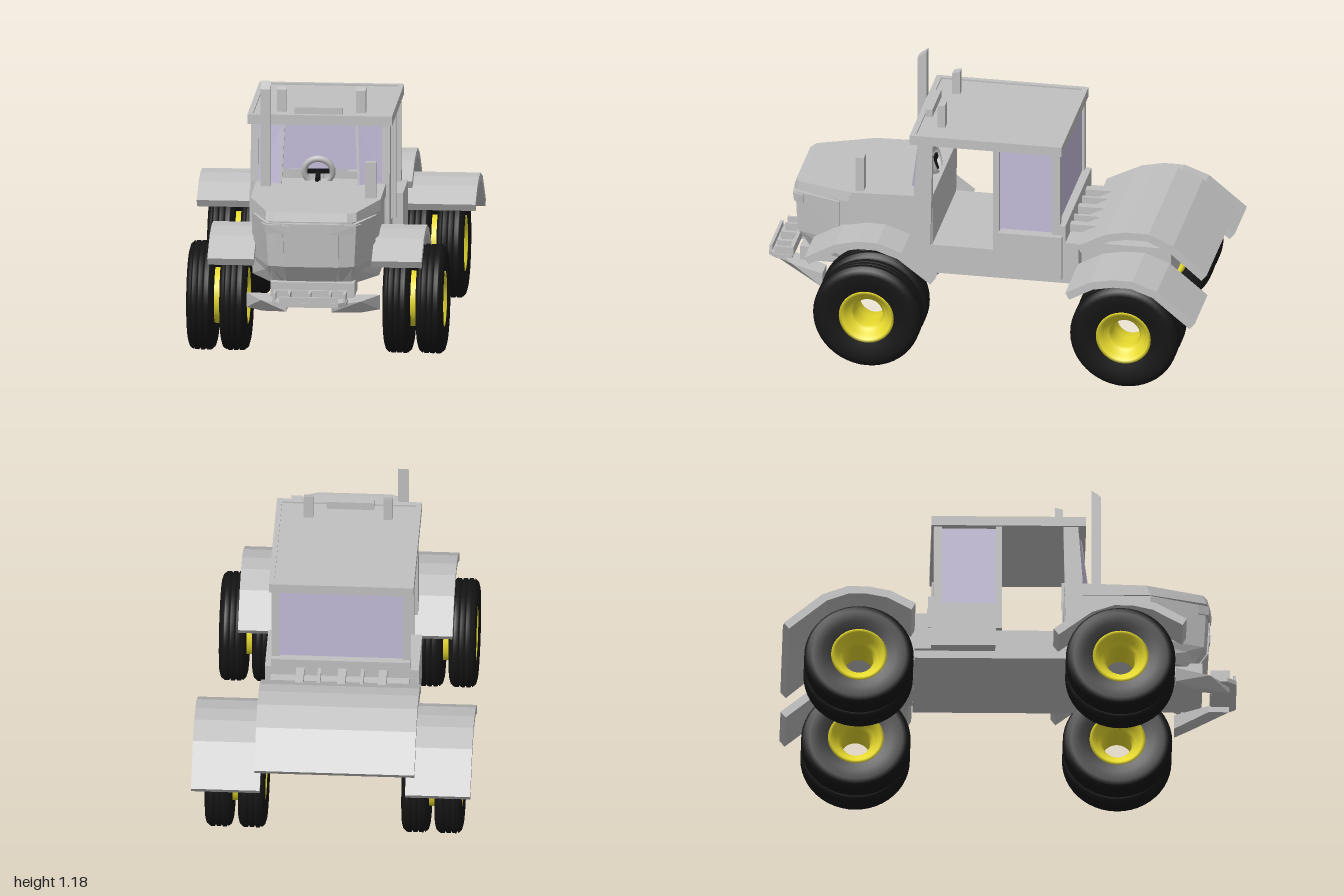
import * as THREE from 'three';
import { ConvexGeometry } from 'three/addons/geometries/ConvexGeometry.js';

const CX = -0.01; // centre line of the machine

export function createModel() {
  const model = new THREE.Group();
  model.name = 'tractor';
  const mat = (name, color, side = THREE.FrontSide) => {
    const m = new THREE.MeshStandardMaterial({ color, side });
    m.name = name;
    return m;
  };
  const gray = mat('bodyGray', 0xc0c0c0);
  const black = mat('tireBlack', 0x141414, THREE.DoubleSide);
  const yellow = mat('rimYellow', 0xe6d92e, THREE.DoubleSide);
  const glass = mat('windowLavender', 0xc2bad8, THREE.DoubleSide);

  const add = (name, geo, material = gray, parent = model) => {
    const m = new THREE.Mesh(geo, material);
    m.name = name;
    parent.add(m);
    return m;
  };
  // Box given by its limits on each axis
  const box = (name, x0, x1, y0, y1, z0, z1, material = gray) =>
    add(name, new THREE.BoxGeometry(x1 - x0, y1 - y0, z1 - z0)
      .translate((x0 + x1) / 2, (y0 + y1) / 2, (z0 + z1) / 2), material);
  // Convex solid; every point is mirrored about the centre line
  const symmetric = (name, pts) => add(name, new ConvexGeometry(
    pts.flatMap(([x, y, z]) => [new THREE.Vector3(CX + x, y, z), new THREE.Vector3(CX - x, y, z)])));
  const solid = (name, pts) => add(name, new ConvexGeometry(pts.map(p => new THREE.Vector3(...p))));
  const pane = (name, a, b, c, d) => {
    const g = new THREE.BufferGeometry();
    g.setAttribute('position', new THREE.Float32BufferAttribute([a, b, c, a, c, d].flat(), 3));
    g.computeVertexNormals();
    return add(name, g, glass);
  };

  // Fender: a bent strip drawn in the z-y plane and extruded across x
  const fender = (name, pts, x0, x1, t = 0.036) => {
    const outer = pts.map(p => new THREE.Vector2(...p));
    const inner = outer.map((p, i) => {
      const a = outer[Math.max(i - 1, 0)], b = outer[Math.min(i + 1, outer.length - 1)];
      const d = b.clone().sub(a).normalize();
      return new THREE.Vector2(p.x - d.y * t, p.y + d.x * t);
    });
    const g = new THREE.ExtrudeGeometry(new THREE.Shape([...outer, ...inner.reverse()]),
      { depth: x1 - x0, bevelEnabled: false });
    add(name, g.rotateY(-Math.PI / 2).translate(x1, 0, 0));
  };
  const frontArch = [[0.775, 0.47], [0.64, 0.545], [0.54, 0.568], [0.45, 0.568], [0.34, 0.53], [0.19, 0.417]];
  const rearArch = [[-0.42, 0.47], [-0.53, 0.53], [-0.63, 0.55], [-0.72, 0.55], [-0.83, 0.51], [-1.0, 0.37]];
  const centreArch = [[-0.42, 0.57], [-0.55, 0.635], [-0.635, 0.653], [-0.74, 0.653], [-0.85, 0.605], [-1.0, 0.475]];
  fender('frontFenderRight', frontArch, -0.475, -0.27);
  fender('frontFenderLeft', frontArch, 0.25, 0.47);
  fender('rearFenderRight', rearArch, -0.617, -0.33);
  fender('rearFenderLeft', rearArch, 0.31, 0.613);
  fender('rearCentreFender', centreArch, -0.371, 0.334);

  // Wheels: twin tires on one hollow stepped rim
  const turned = pts => new THREE.LatheGeometry(pts.map(p => new THREE.Vector2(...p)), 48).rotateZ(Math.PI / 2);
  const tireProfile = [[0.118, -0.05], [0.16, -0.058], [0.205, -0.061], [0.226, -0.055], [0.239, -0.04]];
  for (const s of [-0.026, 0, 0.026])
    tireProfile.push([0.241, s - 0.01], [0.241, s + 0.006], [0.234, s + 0.009], [0.234, s + 0.013]);
  tireProfile.push([0.239, 0.041], [0.226, 0.055], [0.205, 0.061], [0.16, 0.058], [0.118, 0.05]);
  const tireGeo = turned(tireProfile);
  const rimSide = [[0.065, 0.02], [0.065, 0.075], [0.078, 0.075], [0.08, 0.09], [0.092, 0.09],
    [0.095, 0.11], [0.108, 0.112], [0.11, 0.126], [0.123, 0.126], [0.123, 0.02]];
  const rimGeo = turned([...rimSide, ...rimSide.map(([r, h]) => [r, -h]).reverse(), rimSide[0]]);
  for (const z of [0.483, -0.668]) for (const side of [-1, 1]) {
    const wheel = new THREE.Group();
    wheel.name = (z > 0 ? 'front' : 'rear') + (side > 0 ? 'LeftWheel' : 'RightWheel');
    wheel.position.set(-0.008 + side * 0.433, 0.243, z);
    for (const x of [-0.073, 0.073]) add('tire', tireGeo, black, wheel).position.x = x;
    add('rim', rimGeo, yellow, wheel);
    model.add(wheel);
  }

  // Engine body, hood lid and grille
  symmetric('engineBody', [
    [0.28, 0.37, 0.24], [0.28, 0.37, 0.6], [0.17, 0.37, 0.8],
    [0.28, 0.69, 0.24], [0.28, 0.68, 0.62], [0.18, 0.67, 0.86], [0.18, 0.45, 0.85]]);
  symmetric('hoodLid', [
    [0.287, 0.665, 0.62], [0.287, 0.665, 0.24], [0.2, 0.665, 0.865], [0.16, 0.665, 0.88],
    [0.287, 0.722, 0.24], [0.287, 0.712, 0.6], [0.2, 0.705, 0.85], [0.16, 0.703, 0.87]]);
  symmetric('grille', [
    [0.12, 0.655, 0.885], [0.12, 0.46, 0.875], [0.11, 0.385, 0.82], [0.12, 0.655, 0.8], [0.11, 0.385, 0.7]]);
  for (const s of [-1, 1]) {
    const x = v => CX + s * v;
    solid('grilleSide', [
      [x(0.125), 0.655, 0.88], [x(0.2), 0.655, 0.865], [x(0.275), 0.655, 0.66], [x(0.125), 0.655, 0.65],
      [x(0.12), 0.46, 0.868], [x(0.19), 0.46, 0.855], [x(0.265), 0.46, 0.66],
      [x(0.12), 0.385, 0.815], [x(0.18), 0.385, 0.79], [x(0.24), 0.385, 0.66], [x(0.12), 0.385, 0.66]]);
    solid('headlight', [
      [x(0.09), 0.61, 0.888], [x(0.2), 0.61, 0.875], [x(0.22), 0.61, 0.83], [x(0.09), 0.61, 0.83],
      [x(0.09), 0.65, 0.89], [x(0.2), 0.65, 0.88], [x(0.225), 0.65, 0.83], [x(0.09), 0.65, 0.83]]);
    // Swept lower bumper arm
    solid('bumperArm', [
      [x(0.1), 0.28, 0.97], [x(0.1), 0.31, 0.97], [x(0.1), 0.28, 0.88], [x(0.1), 0.31, 0.88],
      [x(0.22), 0.245, 0.8], [x(0.22), 0.31, 0.88], [x(0.295), 0.245, 0.73], [x(0.295), 0.31, 0.73],
      [x(0.2), 0.245, 0.73], [x(0.2), 0.31, 0.73]]);
  }

  // Front bumper tray with ribs
  box('bumperBracket', -0.19, 0.18, 0.32, 0.385, 0.66, 0.85);
  symmetric('bumperTray', [
    [0.165, 0.305, 0.89], [0.165, 0.305, 0.96], [0.13, 0.305, 1],
    [0.165, 0.325, 0.89], [0.165, 0.325, 0.96], [0.13, 0.325, 1]]);
  box('bumperBack', -0.17, 0.15, 0.32, 0.36, 0.885, 0.9);
  box('bumperLip', -0.14, 0.12, 0.32, 0.35, 0.985, 0.998);
  for (const x of [-0.165, -0.1, -0.01, 0.08, 0.145])
    box('bumperRib', x - 0.006, x + 0.006, 0.32, 0.36, 0.89, 0.97);

  // Chassis, sills and rear ledge
  box('chassis', -0.295, 0.275, 0.355, 0.49, -0.42, 0.3);
  box('rearChassis', -0.25, 0.23, 0.365, 0.54, -0.82, -0.4);
  box('rearLedge', -0.315, 0.295, 0.39, 0.56, -0.42, -0.33);
  box('sideTankRight', -0.356, -0.29, 0.39, 0.595, -0.348, -0.065);
  box('sideTankLeft', 0.265, 0.322, 0.39, 0.595, -0.348, -0.065);
  box('rearWall', -0.32, 0.295, 0.49, 0.64, -0.36, -0.32);
  [-0.2, -0.11, -0.02, 0.08, 0.165].forEach((x, i) => {
    const w = i % 2 ? 0.007 : 0.018;
    box('rearPipe', x - w, x + w, 0.565, 0.6, -0.53, -0.35);
  });
  for (const x of [-0.1, 0.06]) box('wallHandle', x, x + 0.05, 0.6, 0.64, -0.32, -0.29);

  // Cab frame and windows
  for (const s of [-1, 1]) {
    const x = v => CX - 0.003 + s * v;
    const post = (name, z0, z1, y0) =>
      box(name, Math.min(x(0.307), x(0.272)), Math.max(x(0.307), x(0.272)), y0, 0.99, z0, z1);
    post('middlePost', -0.062, -0.035, 0.49);
    post('rearPost', -0.335, -0.3, 0.59);
    const front = [];
    for (const w of [0.272, 0.307])
      front.push([x(w), 0.49, 0.245], [x(w), 0.49, 0.32], [x(w), 0.72, 0.32],
        [x(w), 0.985, 0.235], [x(w), 0.985, 0.3]);
    solid('frontPost', front);
    pane('sideWindow', [x(0.285), 0.595, -0.06], [x(0.285), 0.595, -0.3], [x(0.285), 0.985, -0.3], [x(0.285), 0.985, -0.06]);
    pane('frontCornerWindow', [x(0.28), 0.71, 0.31], [x(0.175), 0.71, 0.35], [x(0.165), 0.985, 0.315], [x(0.28), 0.985, 0.29]);
    solid('windowEdge', [
      [x(0.168), 0.71, 0.34], [x(0.178), 0.71, 0.352], [x(0.168), 0.71, 0.352],
      [x(0.155), 0.985, 0.305], [x(0.167), 0.985, 0.317], [x(0.155), 0.985, 0.317]]);
  }
  pane('rearWindow', [-0.29, 0.635, -0.325], [0.265, 0.635, -0.325], [0.265, 0.985, -0.325], [-0.29, 0.985, -0.325]);

  // Roof with a low raised rim
  box('roof', -0.333, 0.305, 0.982, 1.018, -0.345, 0.335);
  box('roofRimFront', -0.333, 0.305, 1.015, 1.026, 0.31, 0.335);
  box('roofRimRear', -0.333, 0.305, 1.015, 1.026, -0.345, -0.32);
  box('roofRimRight', -0.333, -0.31, 1.015, 1.026, -0.32, 0.31);
  box('roofRimLeft', 0.282, 0.305, 1.015, 1.026, -0.32, 0.31);
  box('roofLightBar', -0.127, 0.085, 1.015, 1.054, 0.275, 0.305);

  // Stacks with slanted tops
  const stack = (name, x0, x1, y0, y1, z0, z1, slant) => solid(name,
    [x0, x1].flatMap(x => [[x, y0, z0], [x, y0, z1], [x, y1, z0], [x, y1 - slant, z1]]));
  stack('exhaustStack', -0.27, -0.226, 0.7, 1.184, 0.36, 0.4, 0.03);
  stack('intakeStack', 0.207, 0.255, 0.69, 0.873, 0.55, 0.588, 0);
  stack('roofStackRight', -0.211, -0.17, 1.01, 1.127, 0.2, 0.235, 0.01);
  stack('roofStackLeft', 0.139, 0.181, 1.01, 1.127, 0.2, 0.235, 0.01);

  // Steering wheel
  const steering = new THREE.Group();
  steering.name = 'steeringWheel';
  steering.position.set(-0.023, 0.765, 0.285);
  steering.rotation.x = 0.3;
  add('steeringRim', new THREE.TorusGeometry(0.062, 0.014, 12, 32), gray, steering);
  add('steeringSpoke', new THREE.BoxGeometry(0.11, 0.02, 0.01), black, steering);
  add('steeringStem', new THREE.BoxGeometry(0.014, 0.06, 0.01).translate(0, -0.03, 0), black, steering);
  add('steeringColumn', new THREE.CylinderGeometry(0.01, 0.01, 0.08, 10).rotateX(Math.PI / 2).translate(0, 0, 0.04), black, steering);
  model.add(steering);

  return model;
}
